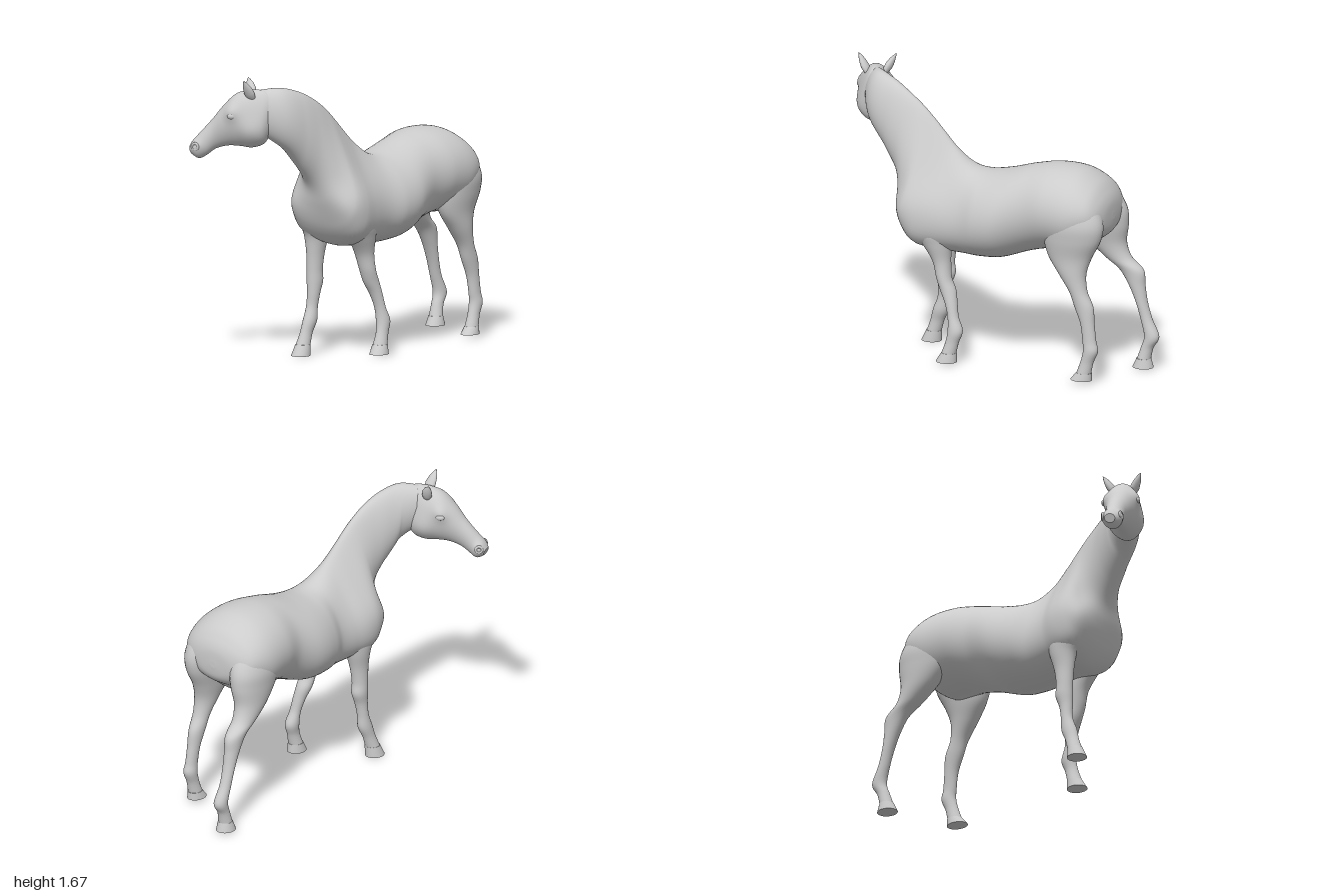
import * as THREE from 'three';

const material = new THREE.MeshStandardMaterial({ color: 0xcccccc, roughness: 0.8 });
const V = (x, y, z) => new THREE.Vector3(x, y, z);

function addMesh(parent, name, geometry) {
  const mesh = new THREE.Mesh(geometry, material);
  mesh.name = name;
  parent.add(mesh);
  return mesh;
}

// Catmull-Rom smoothing of a table of section rows
function refine(rows, steps) {
  const out = [];
  const at = i => rows[Math.max(0, Math.min(rows.length - 1, i))];
  for (let i = 0; i < rows.length - 1; i++) {
    for (let s = 0; s < steps; s++) {
      const t = s / steps;
      out.push(rows[i].map((b, k) => {
        const a = at(i - 1)[k], c = at(i + 1)[k], d = at(i + 2)[k];
        return b + 0.5 * t * (c - a + t * (2 * a - 5 * b + 4 * c - d + t * (3 * (b - c) + d - a)));
      }));
    }
  }
  out.push(rows[rows.length - 1]);
  return out;
}

// Skin over oval sections; row = [ax,ay,az, bx,by,bz, halfWidth, egg], where
// a and b are opposite ends of the section and egg narrows the a end.
// Each bulge { center, radius, push } swells the skin softly, for muscles.
function loft(rows, { steps = 6, sides = 36, lateral = null, bulges = [] } = {}) {
  const secs = refine(rows, steps);
  const mids = secs.map(s => V(s[0] + s[3], s[1] + s[4], s[2] + s[5]).multiplyScalar(0.5));
  const pos = [], index = [];
  secs.forEach((s, i) => {
    const half = V(s[0] - s[3], s[1] - s[4], s[2] - s[5]).multiplyScalar(0.5);
    const t = mids[Math.min(i + 1, secs.length - 1)].clone().sub(mids[Math.max(i - 1, 0)]);
    const lat = lateral || V(t.z, 0, -t.x).normalize();
    for (let j = 0; j < sides; j++) {
      const a = j / sides * Math.PI * 2, c = Math.cos(a);
      const p = mids[i].clone().addScaledVector(half, c)
        .addScaledVector(lat, Math.sin(a) * s[6] * (1 - s[7] * c));
      const q = p.clone();
      for (const b of bulges) {
        q.addScaledVector(b.push, Math.exp(-p.distanceToSquared(b.center) / b.radius ** 2));
      }
      pos.push(q.x, q.y, q.z);
    }
  });
  const last = secs.length - 1;
  for (let i = 0; i < last; i++) {
    for (let j = 0; j < sides; j++) {
      const k = (j + 1) % sides, a = i * sides, b = a + sides;
      index.push(a + j, b + j, a + k, b + j, b + k, a + k);
    }
  }
  // End caps with their own corners, so hoof soles stay crisp
  for (const [ring, flip] of [[0, false], [last, true]]) {
    const base = pos.length / 3;
    pos.push(...pos.slice(ring * sides * 3, (ring + 1) * sides * 3));
    const center = V(0, 0, 0);
    for (let j = 0; j < sides; j++) {
      center.add(V(...pos.slice((base + j) * 3, (base + j) * 3 + 3)));
    }
    pos.push(...center.divideScalar(sides).toArray());
    for (let j = 0; j < sides; j++) {
      const k = (j + 1) % sides;
      index.push(base + sides, base + (flip ? k : j), base + (flip ? j : k));
    }
  }
  const g = new THREE.BufferGeometry();
  g.setAttribute('position', new THREE.Float32BufferAttribute(pos, 3));
  g.setIndex(index);
  g.computeVertexNormals();
  return g;
}

// Trunk and neck: [topX, topY, topZ, bottomX, bottomY, bottomZ, halfWidth, egg]
const trunk = [
  [0.155, 0.99, -0.80, 0.155, 0.95, -0.80, 0.02, 0],
  [0.155, 1.06, -0.793, 0.155, 0.89, -0.79, 0.13, 0],
  [0.155, 1.12, -0.765, 0.155, 0.85, -0.76, 0.215, 0],
  [0.155, 1.18, -0.71, 0.155, 0.81, -0.70, 0.265, 0],
  [0.155, 1.235, -0.60, 0.155, 0.74, -0.60, 0.293, 0],
  [0.155, 1.245, -0.45, 0.155, 0.74, -0.45, 0.285, 0],
  [0.155, 1.22, -0.30, 0.155, 0.705, -0.30, 0.258, 0],
  [0.15, 1.17, -0.13, 0.15, 0.645, -0.13, 0.284, 0.05],
  [0.15, 1.15, 0.00, 0.15, 0.632, 0.00, 0.265, 0.1],
  [0.15, 1.175, 0.10, 0.15, 0.635, 0.12, 0.222, 0.25],
  [0.142, 1.25, 0.20, 0.145, 0.64, 0.26, 0.205, 0.5],
  [0.13, 1.33, 0.28, 0.135, 0.665, 0.37, 0.205, 0.6],
  [0.12, 1.40, 0.35, 0.13, 0.76, 0.45, 0.185, 0.6],
  [0.11, 1.47, 0.43, 0.125, 0.90, 0.50, 0.132, 0.45],
  [0.095, 1.53, 0.52, 0.105, 1.02, 0.545, 0.106, 0.28],
  [0.065, 1.58, 0.62, 0.075, 1.13, 0.62, 0.1, 0.15],
  [0.015, 1.61, 0.73, 0.03, 1.25, 0.715, 0.096, 0.1],
  [-0.07, 1.60, 0.80, -0.05, 1.33, 0.79, 0.07, 0],
];

const skull = [
  [0.01, 1.56, 0.79, 0.005, 1.41, 0.79, 0.03, 0],
  [-0.04, 1.597, 0.805, -0.03, 1.30, 0.805, 0.072, 0.2],
  [-0.12, 1.60, 0.83, -0.10, 1.265, 0.83, 0.095, 0.05],
  [-0.20, 1.575, 0.86, -0.17, 1.27, 0.855, 0.095, -0.1],
  [-0.27, 1.505, 0.885, -0.24, 1.27, 0.88, 0.078, -0.15],
  [-0.33, 1.425, 0.91, -0.31, 1.25, 0.905, 0.058, -0.1],
  [-0.40, 1.34, 0.94, -0.36, 1.21, 0.93, 0.053, 0],
  [-0.44, 1.295, 0.95, -0.40, 1.19, 0.945, 0.053, 0],
  [-0.46, 1.26, 0.955, -0.44, 1.21, 0.955, 0.03, 0],
];

// Legs, from the top down: [y, x, frontZ, backZ, halfWidth]; last two rows are the hoof
const legs = {
  frontLeftLeg: [
    [1.0, 0.26, 0.4, 0.24, 0.05], [0.88, 0.275, 0.44, 0.19, 0.085], [0.78, 0.278, 0.425, 0.175, 0.09],
    [0.7, 0.275, 0.36, 0.18, 0.076], [0.6, 0.27, 0.295, 0.185, 0.058], [0.5, 0.28, 0.265, 0.175, 0.05],
    [0.43, 0.285, 0.24, 0.145, 0.047], [0.36, 0.3, 0.205, 0.13, 0.039], [0.28, 0.315, 0.18, 0.115, 0.034],
    [0.2, 0.325, 0.175, 0.085, 0.04], [0.13, 0.33, 0.187, 0.107, 0.035], [0.055, 0.33, 0.215, 0.125, 0.043],
    [0.065, 0.33, 0.212, 0.122, 0.044], [0.01, 0.333, 0.245, 0.12, 0.054]],
  frontRightLeg: [
    [1.0, 0.02, 0.42, 0.26, 0.05], [0.88, 0.003, 0.46, 0.22, 0.085], [0.78, -0.003, 0.45, 0.22, 0.086],
    [0.7, -0.01, 0.405, 0.24, 0.07], [0.6, -0.012, 0.39, 0.27, 0.052], [0.5, -0.015, 0.385, 0.285, 0.046],
    [0.43, -0.015, 0.385, 0.28, 0.046], [0.36, -0.015, 0.385, 0.305, 0.038], [0.28, -0.02, 0.39, 0.32, 0.034],
    [0.2, -0.022, 0.42, 0.325, 0.039], [0.13, -0.03, 0.44, 0.357, 0.035], [0.055, -0.037, 0.468, 0.38, 0.043],
    [0.065, -0.036, 0.467, 0.377, 0.044], [0, -0.04, 0.5, 0.38, 0.055]],
  hindLeftLeg: [
    [1.16, 0.28, -0.54, -0.66, 0.05], [1.07, 0.305, -0.48, -0.75, 0.1], [0.96, 0.325, -0.44, -0.8, 0.115],
    [0.86, 0.33, -0.435, -0.79, 0.105], [0.75, 0.333, -0.465, -0.735, 0.083], [0.65, 0.345, -0.535, -0.705, 0.066],
    [0.55, 0.352, -0.605, -0.715, 0.05], [0.46, 0.355, -0.64, -0.755, 0.044], [0.36, 0.36, -0.68, -0.765, 0.036],
    [0.26, 0.365, -0.695, -0.778, 0.033], [0.2, 0.367, -0.7, -0.79, 0.038], [0.13, 0.367, -0.683, -0.762, 0.034],
    [0.055, 0.367, -0.655, -0.745, 0.04],
    [0.065, 0.367, -0.658, -0.75, 0.041], [0.02, 0.367, -0.62, -0.75, 0.05]],
  hindRightLeg: [
    [1.16, 0.03, -0.54, -0.66, 0.05], [1.07, 0.005, -0.48, -0.75, 0.1], [0.96, -0.015, -0.45, -0.805, 0.115],
    [0.86, -0.022, -0.475, -0.81, 0.105], [0.75, -0.032, -0.56, -0.795, 0.083], [0.66, -0.037, -0.66, -0.825, 0.064],
    [0.59, -0.04, -0.75, -0.9, 0.052], [0.5, -0.04, -0.81, -0.91, 0.043], [0.4, -0.04, -0.855, -0.925, 0.037],
    [0.3, -0.04, -0.885, -0.955, 0.034], [0.2, -0.035, -0.91, -1, 0.039], [0.13, -0.033, -0.89, -0.965, 0.035],
    [0.055, -0.03, -0.865, -0.948, 0.042],
    [0.065, -0.03, -0.865, -0.95, 0.043], [0.01, -0.03, -0.84, -0.965, 0.055]],
};

function ear(parent, name, base, tip) {
  const profile = [[0.018, -0.25], [0.029, 0], [0.034, 0.25], [0.025, 0.6], [0.011, 0.86], [0, 1]];
  const dir = tip.clone().sub(base);
  const points = profile.map(([r, h]) => new THREE.Vector2(r, h * dir.length()));
  const m = addMesh(parent, name, new THREE.LatheGeometry(points, 20));
  m.position.copy(base);
  m.quaternion.setFromUnitVectors(V(0, 1, 0), dir.normalize());
  m.scale.z = 0.65;
}

export function createModel() {
  const horse = new THREE.Group();
  horse.name = 'horse';
  const sides = [['left', 1], ['right', -1]];

  // Muscles: shoulder, breast, forearm root
  const muscles = sides.flatMap(([, s]) => [
    { center: V(0.13 + s * 0.23, 0.95, 0.32), radius: 0.14, push: V(s * 0.018, 0, 0) },
    { center: V(0.13 + s * 0.12, 0.90, 0.46), radius: 0.11, push: V(s * 0.05, 0, 0.025) },
    { center: V(0.13 + s * 0.15, 0.76, 0.38), radius: 0.11, push: V(s * 0.03, -0.005, 0.025) },
  ]);
  addMesh(horse, 'trunkAndNeck', loft(trunk, { sides: 64, steps: 8, bulges: muscles }));

  for (const [name, rows] of Object.entries(legs)) {
    const leg = new THREE.Group();
    leg.name = name;
    horse.add(leg);
    const full = rows.map(([y, x, f, b, w]) => [x, y, f, x, y, b, w, 0]);
    const lateral = V(1, 0, 0);
    addMesh(leg, 'limb', loft(full.slice(0, -2), { lateral, sides: 32 }));
    addMesh(leg, 'hoof', loft(full.slice(-2), { lateral, sides: 32, steps: 2 }));
  }

  // Head turned towards the right, with cheeks, brows and nostril rims swelling the skin
  const head = new THREE.Group();
  head.name = 'head';
  horse.add(head);
  const lat = V(0.42, 0, 0.9).normalize();
  const yaw = Math.atan2(lat.x, lat.z);
  const place = (x, y, z, d) => V(x, y, z).addScaledVector(lat, d);
  const features = sides.flatMap(([, s]) => [
    { center: place(-0.10, 1.36, 0.83, s * 0.09), radius: 0.075, push: lat.clone().multiplyScalar(s * 0.015) },
    { center: place(-0.215, 1.475, 0.865, s * 0.08), radius: 0.045, push: lat.clone().multiplyScalar(s * 0.02) },
    { center: place(-0.42, 1.265, 0.948, s * 0.045), radius: 0.035, push: lat.clone().multiplyScalar(s * 0.01) },
  ]);
  addMesh(head, 'skull', loft(skull, { sides: 48, steps: 8, bulges: features }));
  for (const [side, s] of sides) {
    const eye = addMesh(head, side + 'Eye', new THREE.SphereGeometry(1, 24, 16));
    eye.position.copy(place(-0.21, 1.455, 0.865, s * 0.097));
    eye.scale.set(0.026, 0.018, 0.016);
    eye.rotation.y = yaw;
    const nostril = addMesh(head, side + 'Nostril', new THREE.TorusGeometry(0.019, 0.008, 10, 24));
    nostril.position.copy(place(-0.42, 1.262, 0.948, s * 0.054));
    nostril.rotation.y = yaw - s * 0.25;
  }
  ear(head, 'leftEar', V(-0.09, 1.565, 0.87), V(-0.1, 1.667, 0.93));
  ear(head, 'rightEar', V(-0.15, 1.565, 0.775), V(-0.205, 1.655, 0.735));
  return horse;
}
